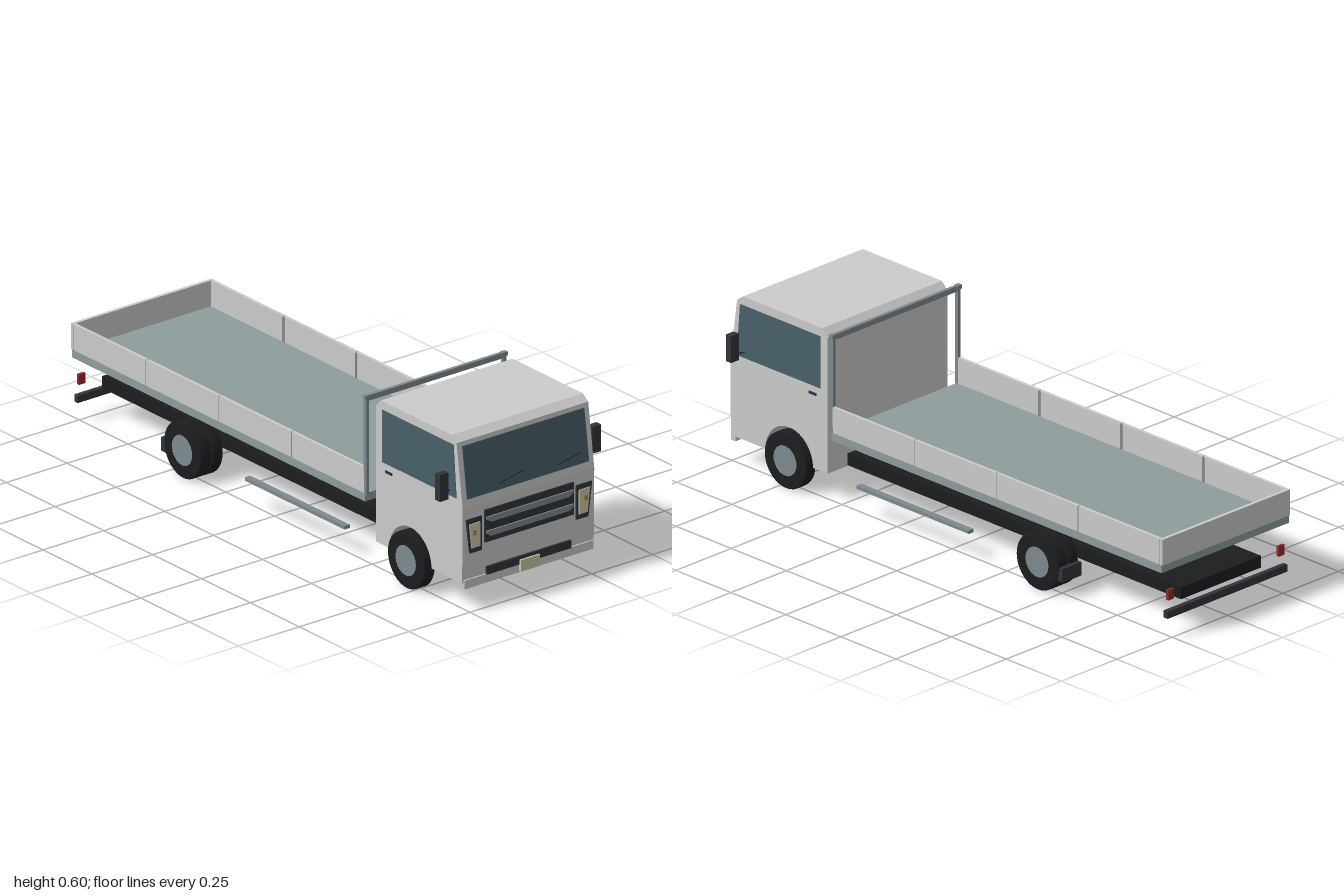
import * as THREE from 'three';

const mat = (color) => new THREE.MeshStandardMaterial({ color });
const M = {
  body: mat(0xcccccc), glass: mat(0x486069), dark: mat(0x303338), tyre: mat(0x1b1d1f),
  hub: mat(0x7d8a90), bed: mat(0x8d9d9c), steel: mat(0x7f8a8f), lamp: mat(0xcfc8a8),
  amber: mat(0xa88a45), red: mat(0x8f2a26),
};

export function createModel() {
  const truck = new THREE.Group();
  truck.name = 'flatbedTruck';

  const add = (name, geometry, material, parent = truck) => {
    const mesh = new THREE.Mesh(geometry, material);
    mesh.name = name;
    parent.add(mesh);
    return mesh;
  };
  // Box given by its limits on each axis
  const box = (name, material, [x0, x1], [y0, y1], [z0, z1], parent) => {
    const g = new THREE.BoxGeometry(x1 - x0, y1 - y0, z1 - z0);
    g.translate((x0 + x1) / 2, (y0 + y1) / 2, (z0 + z1) / 2);
    return add(name, g, material, parent);
  };
  const polygon = (pts) => new THREE.Shape(pts.map(([a, b]) => new THREE.Vector2(a, b)));
  // Flat plate facing the front, from z0 to z1
  const plate = (name, material, pts, z0, z1, parent) => {
    const g = new THREE.ExtrudeGeometry(polygon(pts), { depth: z1 - z0, bevelEnabled: false });
    return add(name, g.translate(0, 0, z0), material, parent);
  };
  // Side profile in (z, y), extruded across x and centred on cx
  const across = (name, material, shape, width, cx = 0, parent = truck) => {
    const g = new THREE.ExtrudeGeometry(shape, { depth: width, bevelEnabled: false, curveSegments: 28 });
    return add(name, g.rotateY(-Math.PI / 2).translate(cx + width / 2, 0, 0), material, parent);
  };
  // Both sides: s is +1 for left, -1 for right
  const sides = (fn) => [['left', 1], ['right', -1]].forEach(([n, s]) => fn(n, s));
  const span = (s, a, b) => (s > 0 ? [a, b] : [-b, -a]);

  // Cab shell with a wheel arch through its base
  const cab = new THREE.Group();
  cab.name = 'cab';
  truck.add(cab);
  const shell = new THREE.Shape();
  shell.moveTo(0.545, 0.1);
  shell.lineTo(0.612, 0.1);
  shell.absarc(0.72, 0.1, 0.108, Math.PI, 0, true);
  [[0.985, 0.1], [0.988, 0.36], [0.957, 0.58], [0.93, 0.6], [0.57, 0.6], [0.545, 0.575]]
    .forEach(([z, y]) => shell.lineTo(z, y));
  across('cabShell', M.body, shell, 0.54, 0, cab);
  box('lowerBumper', M.body, [-0.265, 0.265], [0.08, 0.11], [0.97, 0.99], cab);

  // Windscreen and wipers lie on the sloping front
  const screen = new THREE.Group();
  screen.name = 'windscreen';
  screen.position.set(0, 0.36, 0.988);
  screen.rotation.x = -Math.atan2(0.031, 0.22);
  cab.add(screen);
  box('windscreenGlass', M.glass, [-0.25, 0.25], [0.028, 0.207], [-0.004, 0.003], screen);
  [-0.072, 0.167].forEach((x) => {
    const wiper = box('wiper', M.dark, [-0.05, 0.05], [-0.002, 0.002], [0, 0.008], screen);
    wiper.position.set(x, 0.06, 0.002);
    wiper.rotation.z = 0.18;
  });

  sides((n, s) => {
    // Side window, door handle and mirror
    across(n + 'SideWindow', M.glass,
      polygon([[0.577, 0.388], [0.957, 0.388], [0.942, 0.57], [0.577, 0.57]]), 0.004, s * 0.27, cab);
    box(n + 'DoorHandle', M.dark, span(s, 0.268, 0.274), [0.357, 0.365], [0.595, 0.628], cab);
    box(n + 'Mirror', M.dark, span(s, 0.296, 0.331), [0.388, 0.481], [0.923, 0.947], cab);
    const arm = add(n + 'MirrorArm', new THREE.CylinderGeometry(0.003, 0.003, 0.045, 8), M.dark, cab);
    arm.position.set(s * 0.285, 0.408, 0.928);
    arm.rotation.set(0, -s * 0.4, s * (Math.PI / 2 + 0.1));

    // Headlight with dark surround
    const flip = (pts) => pts.map(([x, y]) => [s * x, y]);
    plate(n + 'HeadlightSurround', M.dark,
      flip([[0.194, 0.2], [0.243, 0.2], [0.258, 0.319], [0.194, 0.319]]), 0.975, 0.992, cab);
    plate(n + 'Headlight', M.lamp,
      flip([[0.203, 0.217], [0.238, 0.217], [0.248, 0.302], [0.203, 0.302]]), 0.98, 0.995, cab);
    box(n + 'Indicator', M.amber, span(s, 0.222, 0.236), [0.262, 0.28], [0.98, 0.998], cab);
  });

  // Grille with two tapered slats, lower intake and blank plate
  box('grille', M.dark, [-0.182, 0.182], [0.222, 0.335], [0.975, 0.993], cab);
  [0.242, 0.291].forEach((y) => plate('grilleSlat', M.steel,
    [[-0.162, y], [0.162, y], [0.178, y + 0.011], [0.178, y + 0.02], [-0.178, y + 0.02], [-0.178, y + 0.011]],
    0.98, 0.998, cab));
  box('lowerIntake', M.dark, [-0.175, 0.173], [0.108, 0.136], [0.97, 0.993], cab);
  box('frontPlate', M.lamp, [-0.04, 0.038], [0.085, 0.125], [0.97, 1], cab);

  // Chassis
  box('chassis', M.tyre, [-0.18, 0.18], [0.102, 0.144], [-0.97, 0.6]);
  box('rearBumper', M.dark, [-0.27, 0.27], [0.07, 0.095], [-1, -0.982]);

  // Load bed: floor, panelled sides, tailgate
  box('bedFloor', M.bed, [-0.288, 0.288], [0.232, 0.26], [-0.99, 0.51]);
  box('tailgate', M.body, [-0.288, 0.288], [0.26, 0.35], [-0.995, -0.983]);
  sides((n, s) => {
    const count = 4, length = 1.49 / count;
    for (let i = 0; i < count; i++) {
      const z = -0.982 + i * length;
      box(n + 'SidePanel', M.body, span(s, 0.277, 0.288), [0.26, 0.35], [z, z + length - 0.003]);
      if (i) box(n + 'SideStake', M.steel, span(s, 0.275, 0.286), [0.26, 0.348], [z - 0.006, z + 0.003]);
    }
    // Frame behind the cab
    box(n + 'FramePost', M.steel, span(s, 0.276, 0.288), [0.255, 0.592], [0.503, 0.517]);
    box(n + 'FrameCap', M.steel, span(s, 0.272, 0.292), [0.588, 0.602], [0.502, 0.518]);

    // Side guard, mud flap and tail light
    box(n + 'SideGuard', M.steel, span(s, 0.262, 0.284), [0.096, 0.108], [-0.11, 0.4]);
    box(n + 'MudFlap', M.dark, span(s, 0.2, 0.285), [0.058, 0.105], [-0.538, -0.51]);
    box(n + 'TailLight', M.red, span(s, 0.237, 0.262), [0.13, 0.166], [-0.995, -0.985]);
  });
  box('frameTopBar', M.steel, [-0.28, 0.28], [0.582, 0.601], [0.504, 0.516]);

  // Wheels: single at the front, doubled at the rear
  const tyreProfile = [[0.052, -0.023], [0.09, -0.023], [0.097, -0.018], [0.097, 0.018], [0.09, 0.023], [0.052, 0.023]]
    .map(([r, y]) => new THREE.Vector2(r, y));
  const wheel = (name, x, z) => {
    const g = new THREE.Group();
    g.name = name;
    add('tyre', new THREE.LatheGeometry(tyreProfile, 36), M.tyre, g);
    add('hub', new THREE.CylinderGeometry(0.053, 0.053, 0.044, 36), M.hub, g);
    g.rotation.z = Math.PI / 2;
    g.position.set(x, 0.097, z);
    truck.add(g);
  };
  sides((n, s) => {
    wheel(n + 'FrontWheel', s * 0.266, 0.72);
    wheel(n + 'RearOuterWheel', s * 0.266, -0.425);
    wheel(n + 'RearInnerWheel', s * 0.218, -0.425);
  });

  return truck;
}
